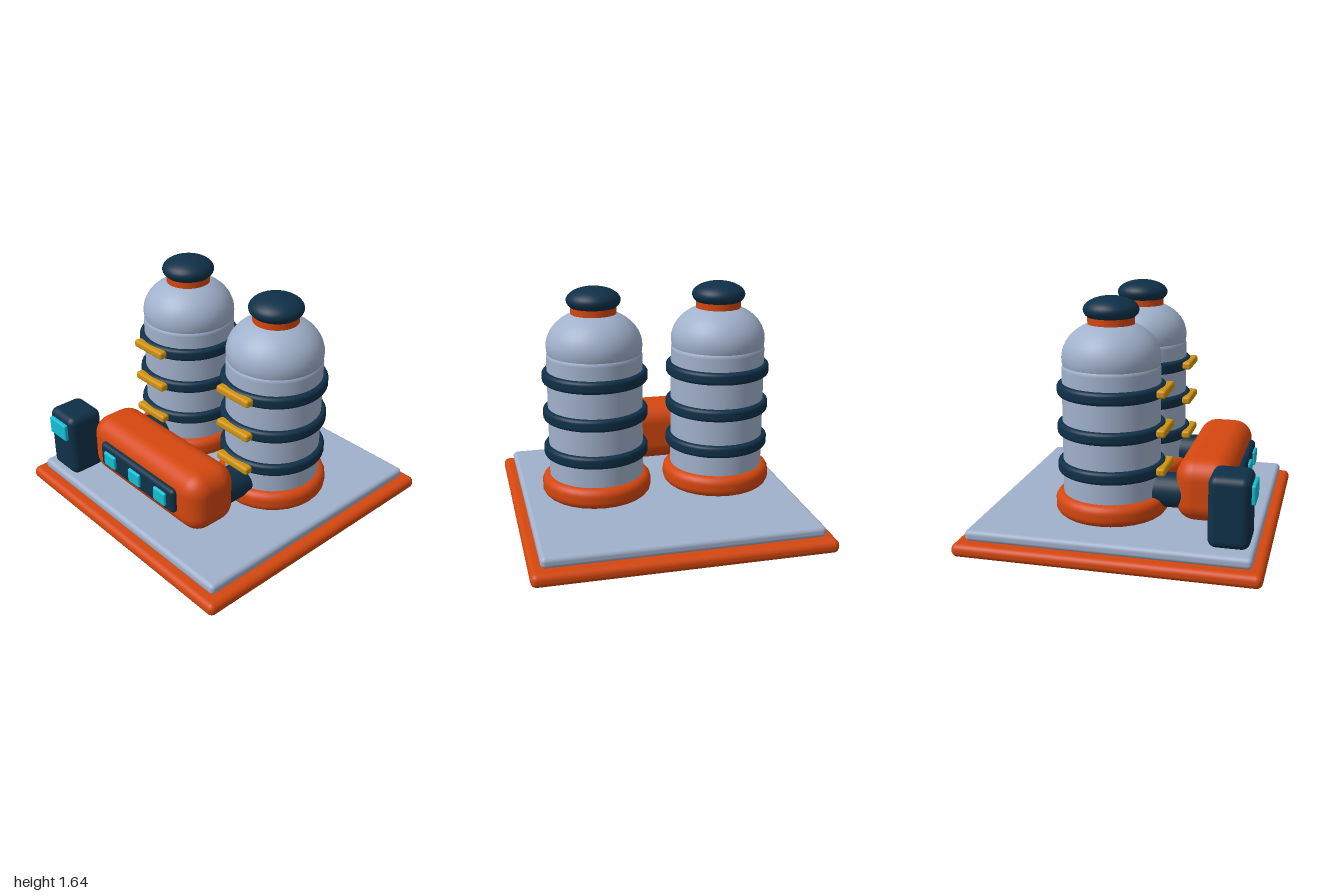
import * as THREE from 'three';
import { RoundedBoxGeometry } from 'three/addons/geometries/RoundedBoxGeometry.js';

const mat = (name, color) => {
  const m = new THREE.MeshStandardMaterial({ color });
  m.name = name;
  return m;
};

export function createModel() {
  const orange = mat('burnt orange', 0xd4470f);
  const navy = mat('dark navy', 0x0f3048);
  const steel = mat('pale steel blue', 0xa1b1cc);
  const amber = mat('amber', 0xd0920f);
  const cyan = mat('cyan', 0x12bfd6);

  const model = new THREE.Group();
  model.name = 'twinTankStation';

  const add = (parent, name, geometry, material, x, y, z) => {
    const mesh = new THREE.Mesh(geometry, material);
    mesh.name = name;
    mesh.position.set(x, y, z);
    parent.add(mesh);
    return mesh;
  };

  // Rounded box given by its limits on each axis
  const block = (parent, name, material, [x0, x1], [y0, y1], [z0, z1], r) =>
    add(parent, name, new RoundedBoxGeometry(x1 - x0, y1 - y0, z1 - z0, 5, r), material,
      (x0 + x1) / 2, (y0 + y1) / 2, (z0 + z1) / 2);

  // Solid disc with rounded rims, turned about y
  const roundedDisc = (radius, y0, y1, r, sides = 40) => {
    const points = [new THREE.Vector2(0, y0)];
    for (let i = 0; i <= 6; i++) {
      const a = (i / 6 - 1) * Math.PI / 2;
      points.push(new THREE.Vector2(radius - r + r * Math.cos(a), y0 + r + r * Math.sin(a)));
    }
    for (let i = 0; i <= 6; i++) {
      const a = (i / 6) * Math.PI / 2;
      points.push(new THREE.Vector2(radius - r + r * Math.cos(a), y1 - r + r * Math.sin(a)));
    }
    points.push(new THREE.Vector2(0, y1));
    return new THREE.LatheGeometry(points, sides);
  };

  const ellipsoid = (r, ry) => new THREE.SphereGeometry(r, 40, 24).scale(1, ry / r, 1);

  // Stacked floor plates
  block(model, 'basePlate', orange, [-1, 1], [0, 0.09], [-1, 1], 0.04);
  block(model, 'deckPlate', steel, [-0.93, 0.93], [0.09, 0.165], [-0.93, 0.93], 0.03);

  // Two matching tanks
  for (const side of [-1, 1]) {
    const tank = new THREE.Group();
    tank.name = side < 0 ? 'rightTank' : 'leftTank';
    tank.position.set(side * 0.43, 0, -0.07);
    model.add(tank);

    add(tank, 'footCollar', roundedDisc(0.375, 0.21, 0.355, 0.055, 28), orange, 0, 0, 0);
    add(tank, 'tankBody', roundedDisc(0.322, 0.3, 1.225, 0.045), steel, 0, 0, 0);
    add(tank, 'dome', ellipsoid(0.322, 0.245), steel, 0, 1.25, 0);
    add(tank, 'neck', new THREE.CylinderGeometry(0.152, 0.152, 0.11, 40), orange, 0, 1.475, 0);
    add(tank, 'cap', ellipsoid(0.18, 0.087), navy, 0, 1.556, 0);

    // Bands with a label plate on the front
    for (const y of [0.535, 0.792, 1.048]) {
      add(tank, 'band', roundedDisc(0.356, y - 0.042, y + 0.042, 0.025), navy, 0, 0, 0);
      block(tank, 'bandTag', amber, [-0.147, 0.147], [y - 0.025, y + 0.03], [0.325, 0.388], 0.018);
    }

    // Pipe joining the tank to the front pod
    add(model, 'feedPipe', new THREE.CylinderGeometry(0.115, 0.115, 0.4, 32).rotateX(Math.PI / 2),
      navy, side * 0.435, 0.38, 0.28);
  }

  // Front pod with its window panel
  block(model, 'controlPod', orange, [-0.578, 0.574], [0.2, 0.625], [0.37, 0.752], 0.13);
  block(model, 'windowPanel', navy, [-0.396, 0.39], [0.33, 0.512], [0.7, 0.788], 0.03);
  for (const x of [-0.273, -0.003, 0.267]) {
    block(model, 'podWindow', cyan, [x - 0.06, x + 0.06], [0.37, 0.472], [0.765, 0.807], 0.012);
  }

  // Console beside the pod
  block(model, 'console', navy, [-0.853, -0.573], [0.17, 0.637], [0.635, 0.9], 0.055);
  block(model, 'consoleScreen', cyan, [-0.808, -0.62], [0.46, 0.587], [0.88, 0.925], 0.012);

  return model;
}
